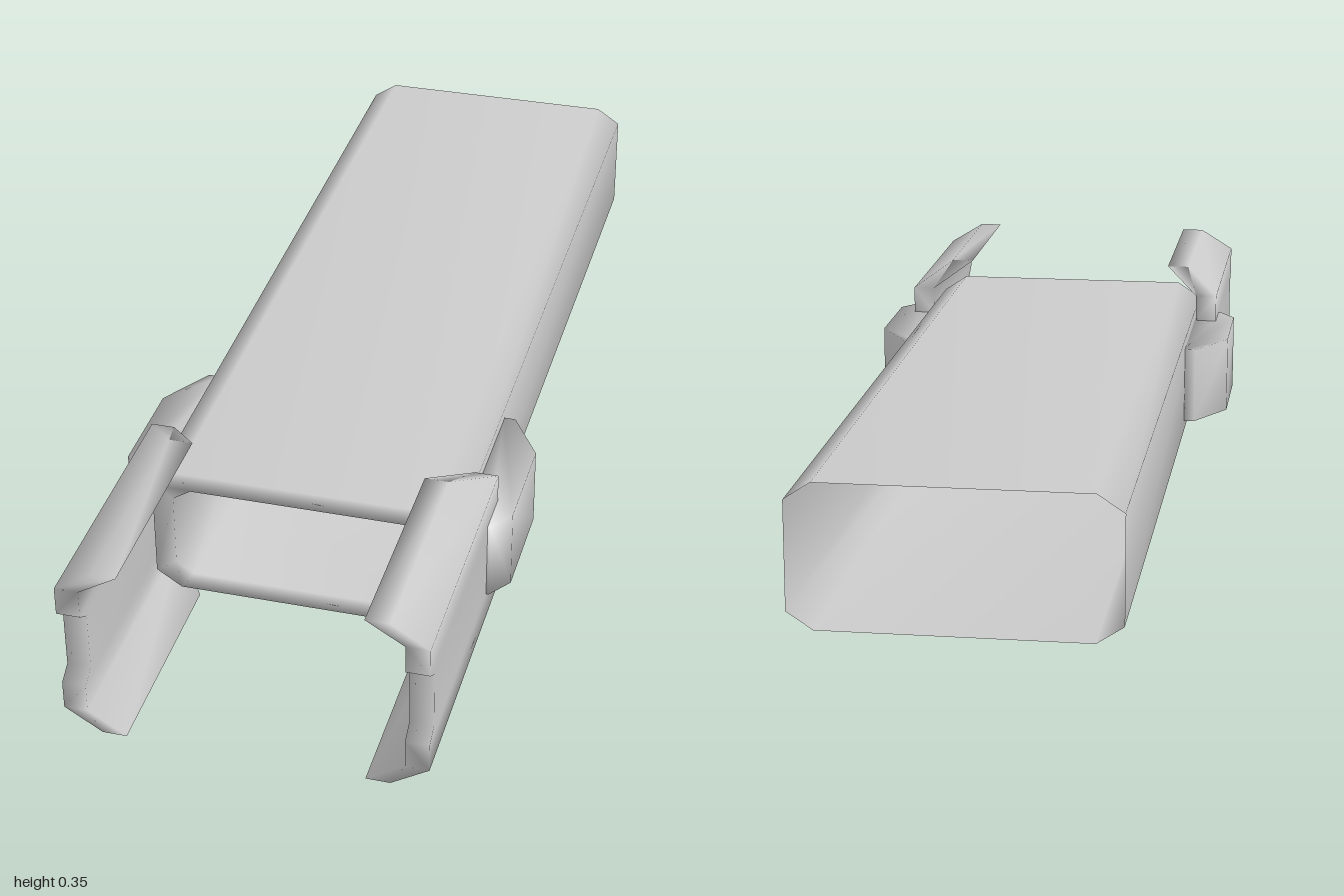
import * as THREE from 'three';

const material = new THREE.MeshStandardMaterial({ color: 0xcccccc, side: THREE.DoubleSide });

// Skins a row of equal-length closed loops, with optional end caps; vertices are shared for smooth shading.
function loft(name, loops, capStart, capEnd) {
  const n = loops[0].length;
  const index = [];
  for (let r = 0; r < loops.length - 1; r++) {
    for (let i = 0; i < n; i++) {
      const a = r * n + i, b = r * n + (i + 1) % n;
      index.push(a, a + n, b + n, a, b + n, b);
    }
  }
  const last = (loops.length - 1) * n;
  for (let i = 1; i < n - 1; i++) {
    if (capStart) index.push(0, i, i + 1);
    if (capEnd) index.push(last, last + i + 1, last + i);
  }
  const geometry = new THREE.BufferGeometry();
  geometry.setAttribute('position', new THREE.Float32BufferAttribute(loops.flat(2), 3));
  geometry.setIndex(index);
  geometry.computeVertexNormals();
  const mesh = new THREE.Mesh(geometry, material);
  mesh.name = name;
  return mesh;
}

// Rectangle with cut corners, half width w and half height h, at depth z.
function octagon(w, h, cx, cy, z) {
  const mid = 0.177;
  return [
    [-w + cx, h], [w - cx, h], [w, h - cy], [w, -h + cy],
    [w - cx, -h], [-w + cx, -h], [-w, -h + cy], [-w, h - cy],
  ].map(([x, y]) => [x, mid + y, z]);
}

export function createModel() {
  const group = new THREE.Group();

  // Long sleeve, open at the back, with a thick front rim and a recessed socket
  group.add(loft('sleeve', [
    octagon(0.289, 0.131, 0.048, 0.032, -1),
    octagon(0.289, 0.131, 0.048, 0.032, 0.62),
    octagon(0.249, 0.095, 0.034, 0.022, 0.62),
    octagon(0.249, 0.095, 0.034, 0.022, 0.3),
  ], false, true));

  // Prong stations: y, outer x, inner x, back z, front z (notched in the middle)
  const prongStations = [
    [0, 0.265, 0.22, 0.58, 1],
    [0.044, 0.335, 0.291, 0.48, 1],
    [0.1, 0.335, 0.291, 0.48, 1],
    [0.12, 0.335, 0.291, 0.48, 0.97],
    [0.235, 0.335, 0.291, 0.48, 0.97],
    [0.255, 0.335, 0.291, 0.48, 1],
    [0.31, 0.335, 0.291, 0.48, 1],
    [0.353, 0.265, 0.22, 0.58, 1],
  ];
  const prongLoops = prongStations.map(([y, xo, xi, zb, zf]) =>
    [[xo, y, zb], [xo, y, zf], [xi, y, zf], [xi, y, zb]]);

  // Side block outline in plan: x, z
  const blockPlan = [[0.287, 0.213], [0.31, 0.213], [0.372, 0.315], [0.372, 0.52], [0.34, 0.565], [0.287, 0.565]];
  const blockLoops = [0.1, 0.255].map((y) => blockPlan.map(([x, z]) => [x, y, z]));

  for (const [label, sign] of [['left', 1], ['right', -1]]) {
    const side = new THREE.Group();
    side.name = label + 'Clamp';
    side.add(loft(label + 'Prong', prongLoops, true, true));
    side.add(loft(label + 'Block', blockLoops, true, true));
    side.scale.x = sign;
    group.add(side);
  }
  return group;
}
